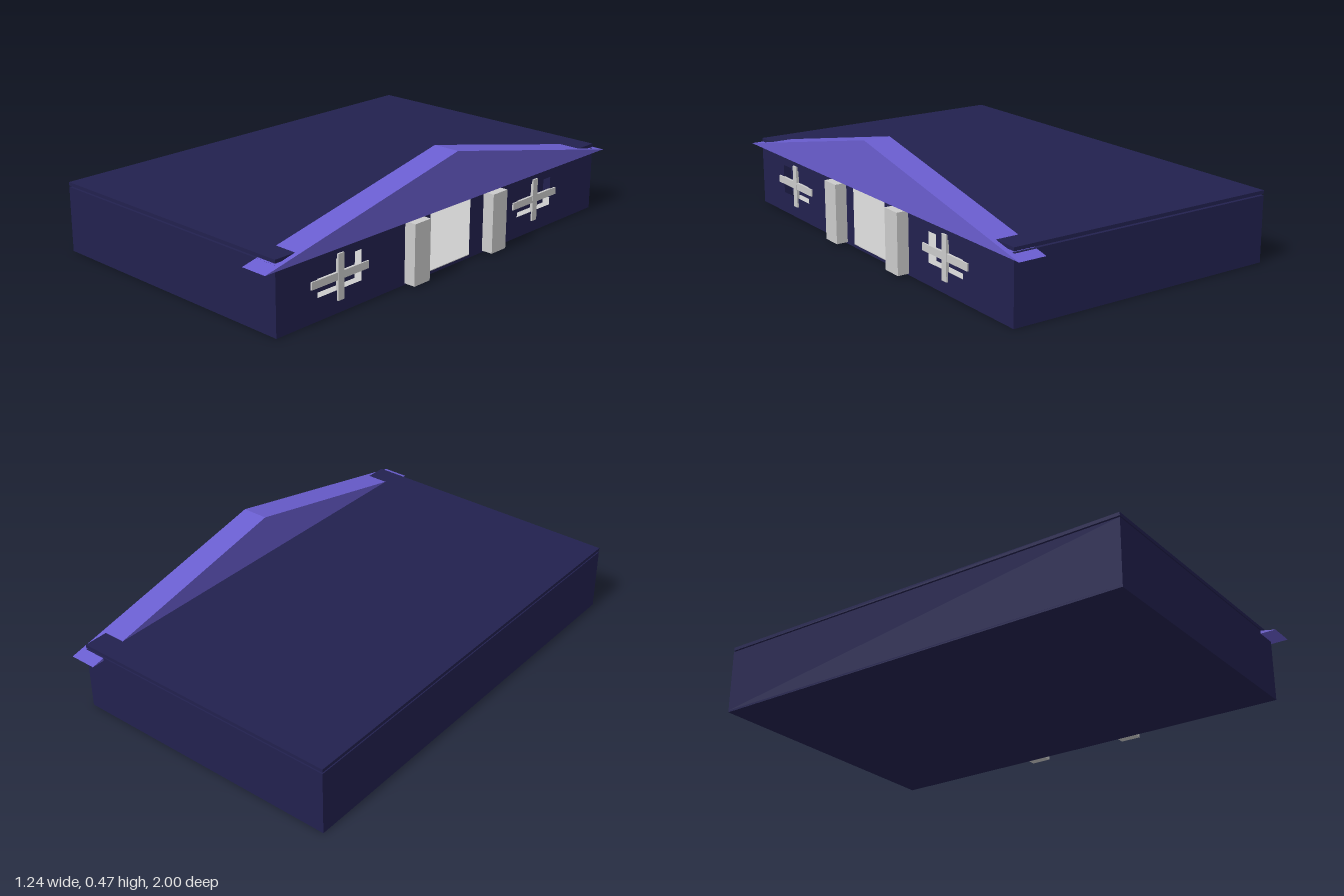
import * as THREE from 'three';

const navy = new THREE.MeshStandardMaterial({ name: 'navy', color: 0x22214f });
const violet = new THREE.MeshStandardMaterial({ name: 'violet', color: 0x6a5ed0 });
const paleGrey = new THREE.MeshStandardMaterial({ name: 'paleGrey', color: 0xcccccc });

// Box given by its extents on each axis
function block(name, material, [x0, x1], [y0, y1], [z0, z1]) {
  const mesh = new THREE.Mesh(new THREE.BoxGeometry(x1 - x0, y1 - y0, z1 - z0), material);
  mesh.position.set((x0 + x1) / 2, (y0 + y1) / 2, (z0 + z1) / 2);
  mesh.name = name;
  return mesh;
}

// Profile drawn in (z, y), extruded along x from x0 to x1
function slabAcross(name, material, shape, x0, x1) {
  const geometry = new THREE.ExtrudeGeometry(shape, { depth: x1 - x0, bevelEnabled: false });
  geometry.rotateY(Math.PI / 2);
  geometry.translate(x0, 0, 0);
  const mesh = new THREE.Mesh(geometry, material);
  mesh.name = name;
  return mesh;
}

// Outline from (z, y) pairs; z is flipped to suit the quarter turn
const outline = (Type, pairs) => new Type(pairs.map(([z, y]) => new THREE.Vector2(-z, y)));
const rect = (Type, z0, z1, y0, y1) => outline(Type, [[z0, y0], [z1, y0], [z1, y1], [z0, y1]]);

export function createModel() {
  const house = new THREE.Group();
  house.name = 'house';
  const back = -0.62, face = 0.57, zMin = -0.945, zMax = 0.935, wallTop = 0.272, t = 0.04;
  const windows = [0.622, -0.53];

  // Floor and plain walls
  house.add(
    block('base', navy, [back, face], [0, 0.008], [zMin, zMax]),
    block('floor', paleGrey, [back + t, face - 0.005], [0.008, 0.012], [zMin + t, zMax - t]),
    block('rearWall', navy, [back, back + t], [0.008, wallTop], [zMin, zMax]),
    block('leftSideWall', navy, [back + t, face - t], [0.008, wallTop], [zMax - t, zMax]),
    block('rightSideWall', navy, [back + t, face - t], [0.008, wallTop], [zMin, zMin + t]),
    block('roofSlab', navy, [back, face], [0.278, 0.292], [zMin, zMax])
  );

  // Entrance wall with doorway and window openings
  const wall = rect(THREE.Shape, zMin, zMax, 0.008, wallTop);
  wall.holes.push(rect(THREE.Path, -0.11, 0.13, 0.012, 0.258));
  for (const z of windows) wall.holes.push(rect(THREE.Path, z - 0.112, z + 0.112, 0.09, 0.212));
  house.add(slabAcross('entranceWall', navy, wall, face - t, face));

  // Window backs and crossed bars
  for (const z of windows) {
    house.add(
      block('windowPane', navy, [face - t, face - t + 0.006], [0.09, 0.212], [z - 0.112, z + 0.112]),
      block('windowCrossbar', paleGrey, [face - 0.005, face + 0.006], [0.13, 0.16], [z - 0.146, z + 0.146]),
      block('windowUpright', paleGrey, [face - 0.005, face + 0.007], [0.05, 0.23], [z - 0.015, z + 0.015])
    );
  }

  // Pillars beside the doorway
  for (const z of [0.23, -0.237]) {
    house.add(block('pillar', paleGrey, [face, 0.62], [0.007, 0.256], [z - 0.044, z + 0.044]));
  }

  // Gable over the entrance
  const gable = outline(THREE.Shape, [[-1, 0.258], [1, 0.258], [0, 0.472]]);
  house.add(slabAcross('gable', violet, gable, 0.475, 0.59));

  return house;
}
